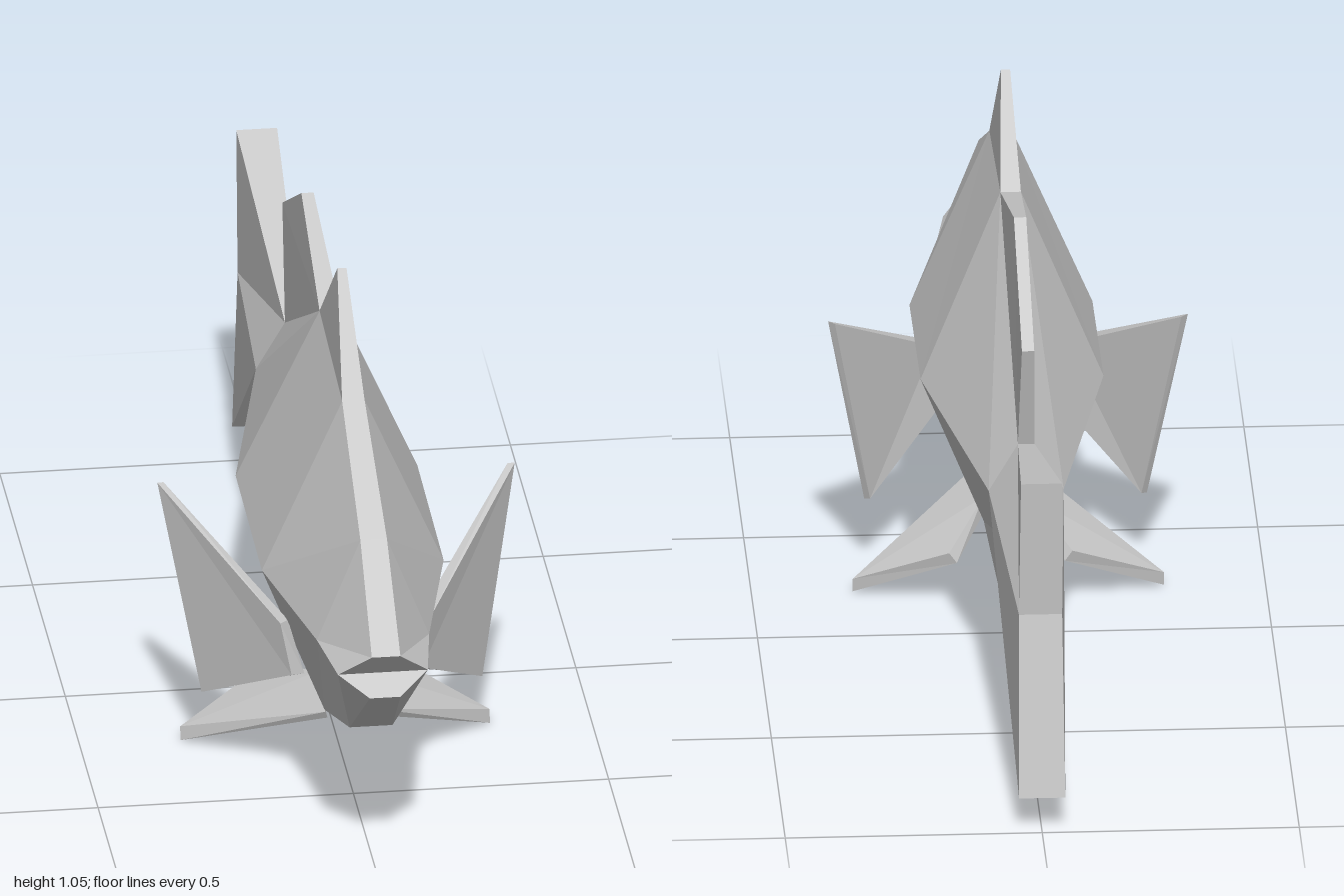
import * as THREE from 'three';

const material = new THREE.MeshStandardMaterial({ color: 0xcccccc, flatShading: true });

// Closed solid through a series of equal-length loops of [x, y, z] points.
function loft(name, loops) {
  const n = loops[0].length;
  const tris = [];
  const quad = (a, b, c, d) => tris.push([a, b, c], [a, c, d]);
  for (let k = 0; k + 1 < loops.length; k++) {
    const p = loops[k], q = loops[k + 1];
    for (let i = 0; i < n; i++) {
      const j = (i + 1) % n;
      // diagonals mirror from one side of the loop to the other
      if (i < n / 2) quad(p[i], p[j], q[j], q[i]);
      else quad(p[j], q[j], q[i], p[i]);
    }
  }
  // end caps, built as rungs between the two sides of the loop
  const cap = (l, flip) => {
    for (let i = 0; i < Math.floor(n / 2) && i + 1 <= n - 2 - i; i++) {
      const c = [l[i], l[i + 1], l[n - 2 - i], l[n - 1 - i]];
      if (flip) c.reverse();
      quad(...c);
    }
  };
  cap(loops[0], true);
  cap(loops[loops.length - 1], false);

  // turn every face outward, judged by the signed volume
  const vec = (p) => new THREE.Vector3(...p);
  const volume = tris.reduce((s, [a, b, c]) => s + vec(a).dot(vec(b).cross(vec(c))), 0);
  if (volume < 0) tris.forEach((t) => t.reverse());

  const geometry = new THREE.BufferGeometry();
  geometry.setAttribute('position', new THREE.Float32BufferAttribute(tris.flat(2), 3));
  geometry.computeVertexNormals();
  const mesh = new THREE.Mesh(geometry, material);
  mesh.name = name;
  return mesh;
}

// Six-sided ring from back, flank and belly points given as [z, y, halfWidth].
const ring = (rows) => [
  ...rows.map(([z, y, w]) => [w, y, z]),
  ...[...rows].reverse().map(([z, y, w]) => [-w, y, z]),
];

// Upright fin on the centre line from an outline of [z, y, halfWidth].
const uprightFin = (name, outline) => loft(name, [
  outline.map(([z, y, w]) => [w, y, z]),
  outline.map(([z, y, w]) => [-w, y, z]),
]);

export function createModel() {
  const fish = new THREE.Group();
  fish.name = 'fish';

  // body sections from mouth to tail root; the first one is notched as the mouth
  const tailRoot = [[-0.42, 0.575, 0.016], [-0.42, 0.478, 0.073], [-0.42, 0.355, 0.022]];
  const sections = [
    [[1.0, 0.535, 0.028], [0.95, 0.478, 0.088], [0.985, 0.44, 0.03]],
    [[0.81, 0.697, 0.026], [0.8, 0.482, 0.11], [0.77, 0.275, 0.042]],
    [[0.5, 0.848, 0.022], [0.49, 0.488, 0.178], [0.45, 0.16, 0.05]],
    [[0.14, 0.87, 0.02], [0.09, 0.5, 0.178], [0.18, 0.16, 0.05]],
    tailRoot,
  ];
  fish.add(loft('body', sections.map(ring)));

  // tail flares tall and ends in a flat strip
  const tailEnd = [[-0.975, 0.725, 0.04], [-0.94, 0.435, 0.042], [-1.0, 0.073, 0.045]];
  fish.add(loft('tailFin', [ring(tailRoot), ring(tailEnd)]));

  // centre-line fins
  fish.add(uprightFin('frontDorsalFin', [
    [0.5, 0.848, 0.022], [0.325, 1.05, 0.009], [0.14, 0.87, 0.02],
  ]));
  fish.add(uprightFin('rearDorsalFin', [
    [0.14, 0.87, 0.02], [-0.2, 0.96, 0.012], [-0.49, 0.8, 0.012], [-0.42, 0.575, 0.016],
  ]));
  fish.add(uprightFin('analFin', [
    [0.18, 0.16, 0.05], [-0.22, 0.045, 0.013], [-0.47, 0.28, 0.016], [-0.42, 0.355, 0.022],
  ]));

  // paired fins, thick at the root and thin at the tip
  for (const [side, s] of [['left', 1], ['right', -1]]) {
    const mirror = (loop) => loop.map(([x, y, z]) => [s * x, y, z]);
    fish.add(loft(side + 'PectoralFin', [
      mirror([[0.148, 0.395, 0.54], [0.35, 0.565, 0.235], [0.275, 0.152, 0.325], [0.128, 0.29, 0.555]]),
      mirror([[0.13, 0.39, 0.515], [0.337, 0.562, 0.228], [0.264, 0.155, 0.315], [0.1, 0.28, 0.53]]),
    ]));
    fish.add(loft(side + 'PelvicFin', [
      mirror([[0.05, 0.16, 0.46], [0.303, 0.028, 0.218], [0.12, 0.115, 0.13], [0.045, 0.165, 0.29]]),
      mirror([[0.045, 0.145, 0.455], [0.303, 0, 0.222], [0.105, 0.094, 0.13], [0.04, 0.14, 0.29]]),
    ]));
  }
  return fish;
}
